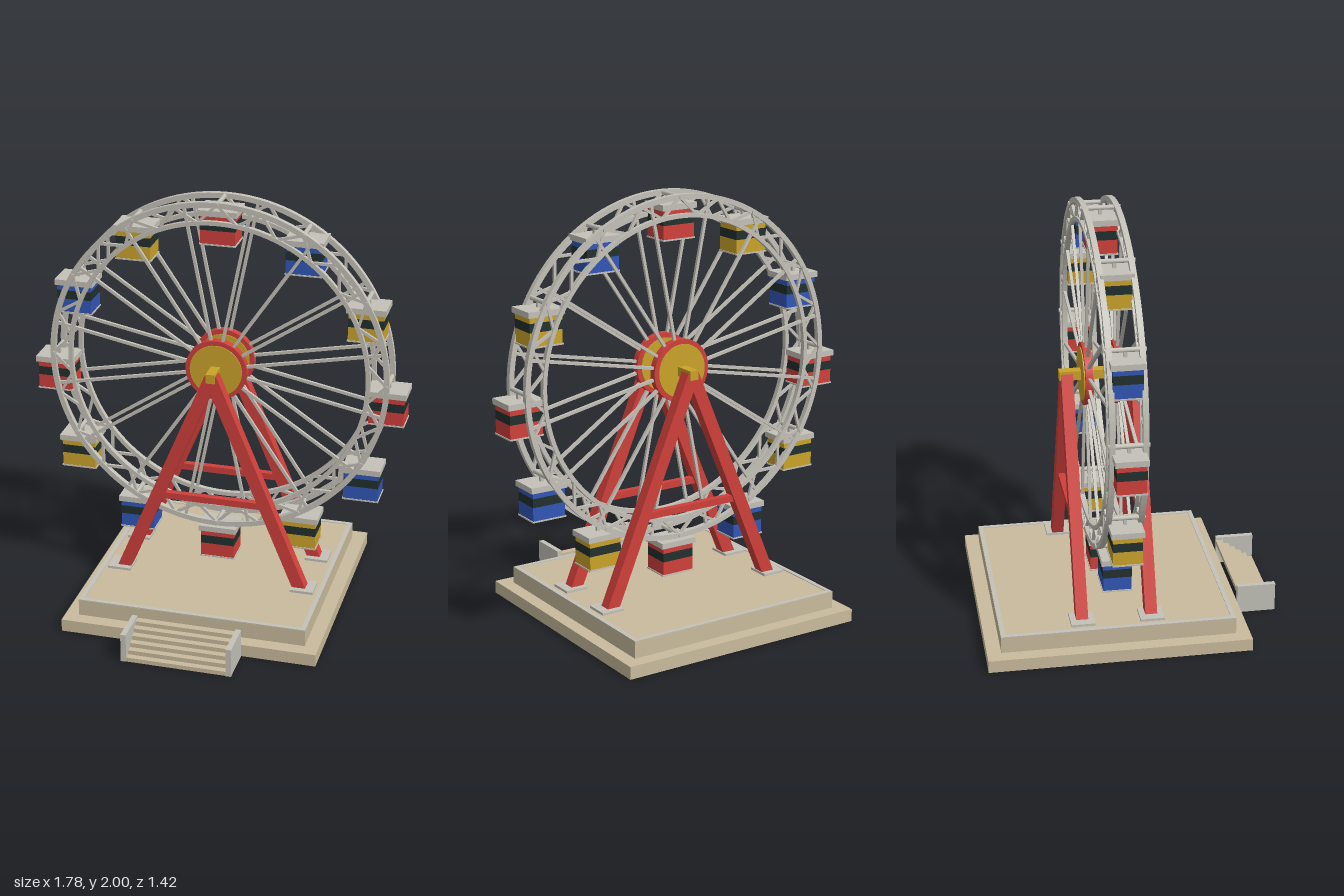
import * as THREE from 'three';

const mat = (name, color, side = THREE.FrontSide) => {
  const m = new THREE.MeshStandardMaterial({ color, side });
  m.name = name;
  return m;
};

export function createModel() {
  const red = mat('red paint', 0xd0403b);
  const gold = mat('gold paint', 0xcaa32a);
  const blue = mat('blue paint', 0x3156b6);
  const dark = mat('dark window', 0x22302e);
  const steel = mat('pale steel', 0xc3c1b7);
  const stone = mat('sandstone', 0xc9bb9c, THREE.DoubleSide);

  const MID_Z = -0.0925, HUB_Y = 1.1875;
  const model = new THREE.Group();
  model.name = 'ferrisWheel';

  const add = (parent, name, geo, material, x = 0, y = 0, z = 0) => {
    const m = new THREE.Mesh(geo, material);
    m.name = name;
    m.position.set(x, y, z);
    parent.add(m);
    return m;
  };
  const box = (parent, name, material, w, h, d, x = 0, y = 0, z = 0) =>
    add(parent, name, new THREE.BoxGeometry(w, h, d), material, x, y, z);
  const group = (parent, name, x = 0, y = 0, z = 0) => {
    const g = new THREE.Group();
    g.name = name;
    g.position.set(x, y, z);
    parent.add(g);
    return g;
  };
  // square bar between two points of one upright plane
  const bar = (parent, name, material, x1, y1, x2, y2, z, w, d) => {
    const dx = x2 - x1, dy = y2 - y1;
    const m = box(parent, name, material, w, Math.hypot(dx, dy), d, (x1 + x2) / 2, (y1 + y2) / 2, z);
    m.rotation.z = Math.atan2(-dx, dy);
    return m;
  };
  const polar = (r, a) => [r * Math.sin(a), r * Math.cos(a)];

  // ---- base: hollow plinth, upper platform and its border ----
  const base = group(model, 'base', 0, 0, MID_Z);
  const plinth = new THREE.BoxGeometry(1.225, 0.06, 1.23);
  const idx = Array.from(plinth.index.array);
  idx.splice(18, 6); // open underside
  plinth.setIndex(idx);
  plinth.clearGroups();
  add(base, 'plinth', plinth, stone, 0, 0.03, 0);
  box(base, 'platform', stone, 1.094, 0.079, 1.098, 0, 0.0995, 0);
  for (const s of [-1, 1]) {
    box(base, 'platformBorder', steel, 1.094, 0.004, 0.022, 0, 0.14, s * 0.537);
    box(base, 'platformBorder', steel, 0.022, 0.004, 1.052, s * 0.536, 0.14, 0);
  }

  // ---- entrance stairs ----
  const stairs = group(model, 'stairs');
  for (const s of [-1, 1]) box(stairs, 'stairWall', steel, 0.026, 0.14, 0.185, s * 0.249, 0.07, 0.6155);
  for (let i = 0; i < 6; i++) {
    box(stairs, 'step', stone, 0.474, 0.021, 0.034, 0, 0.0115 + i * 0.021, 0.69 - i * 0.0305);
  }

  // ---- two A-frame supports ----
  for (const s of [-1, 1]) {
    const frame = group(model, s > 0 ? 'frontSupport' : 'backSupport', 0, 0, MID_Z + s * 0.162);
    for (const t of [-1, 1]) {
      bar(frame, 'leg', red, 0, HUB_Y, t * 0.442, 0.13, 0, 0.06, 0.056);
      box(frame, 'footPad', steel, 0.113, 0.012, 0.113, t * 0.452, 0.146, 0);
    }
    box(frame, 'crossbar', red, 0.5, 0.032, 0.032, 0, 0.552, 0);
  }

  // ---- wheel ----
  const wheel = group(model, 'wheel', 0, HUB_Y, MID_Z);
  box(wheel, 'axle', gold, 0.044, 0.044, 0.394);

  // square-section ring
  const ring = (r1, r2, depth) => {
    const shape = new THREE.Shape().absarc(0, 0, r2, 0, Math.PI * 2, false);
    shape.holes.push(new THREE.Path().absarc(0, 0, r1, 0, Math.PI * 2, true));
    const g = new THREE.ExtrudeGeometry(shape, { depth, bevelEnabled: false, curveSegments: 64 });
    return g.translate(0, 0, -depth / 2);
  };
  const outerRing = ring(0.788, 0.8125, 0.026);
  const innerRing = ring(0.704, 0.724, 0.024);
  const disc = (r, depth) => new THREE.CylinderGeometry(r, r, depth, 40).rotateX(Math.PI / 2);
  const hubRim = disc(0.147, 0.036), hubFace = disc(0.125, 0.046);

  for (const s of [-1, 1]) {
    const side = group(wheel, s > 0 ? 'frontWheelFrame' : 'backWheelFrame', 0, 0, s * 0.073);
    add(side, 'outerRing', outerRing, steel);
    add(side, 'innerRing', innerRing, steel);
    add(side, 'hubRim', hubRim, red);
    add(side, 'hubFace', hubFace, gold);
    for (let i = 0; i < 16; i++) {
      const a = (i + 0.5) * Math.PI / 8;
      bar(side, 'spoke', steel, ...polar(0.12, a), ...polar(0.795, a), 0, 0.014, 0.014);
    }
    // zigzag lattice between the rings
    for (let i = 0; i < 48; i++) {
      const a = i * Math.PI / 24, b = a + Math.PI / 24;
      const odd = i % 2;
      bar(side, 'lattice', steel, ...polar(odd ? 0.714 : 0.8, a), ...polar(odd ? 0.8 : 0.714, b), 0, 0.013, 0.013);
    }
  }

  // ---- twelve upright cabins hung from cross ties ----
  const paints = [red, blue, gold];
  const tie = new THREE.CylinderGeometry(0.011, 0.011, 0.182, 10).rotateX(Math.PI / 2);
  for (let i = 0; i < 12; i++) {
    const cabin = group(wheel, 'cabin', ...polar(0.8, i * Math.PI / 6), 0);
    const paint = paints[i % 3];
    add(cabin, 'crossTie', tie, steel);
    box(cabin, 'hanger', steel, 0.016, 0.04, 0.016, 0, -0.018, 0);
    box(cabin, 'roof', steel, 0.184, 0.027, 0.149, 0, -0.0445, 0);
    box(cabin, 'upperBody', paint, 0.164, 0.026, 0.132, 0, -0.071, 0);
    box(cabin, 'windowBand', dark, 0.165, 0.042, 0.133, 0, -0.105, 0);
    box(cabin, 'lowerBody', paint, 0.164, 0.064, 0.132, 0, -0.158, 0);
    box(cabin, 'floor', steel, 0.172, 0.007, 0.138, 0, -0.1935, 0);
  }
  return model;
}
